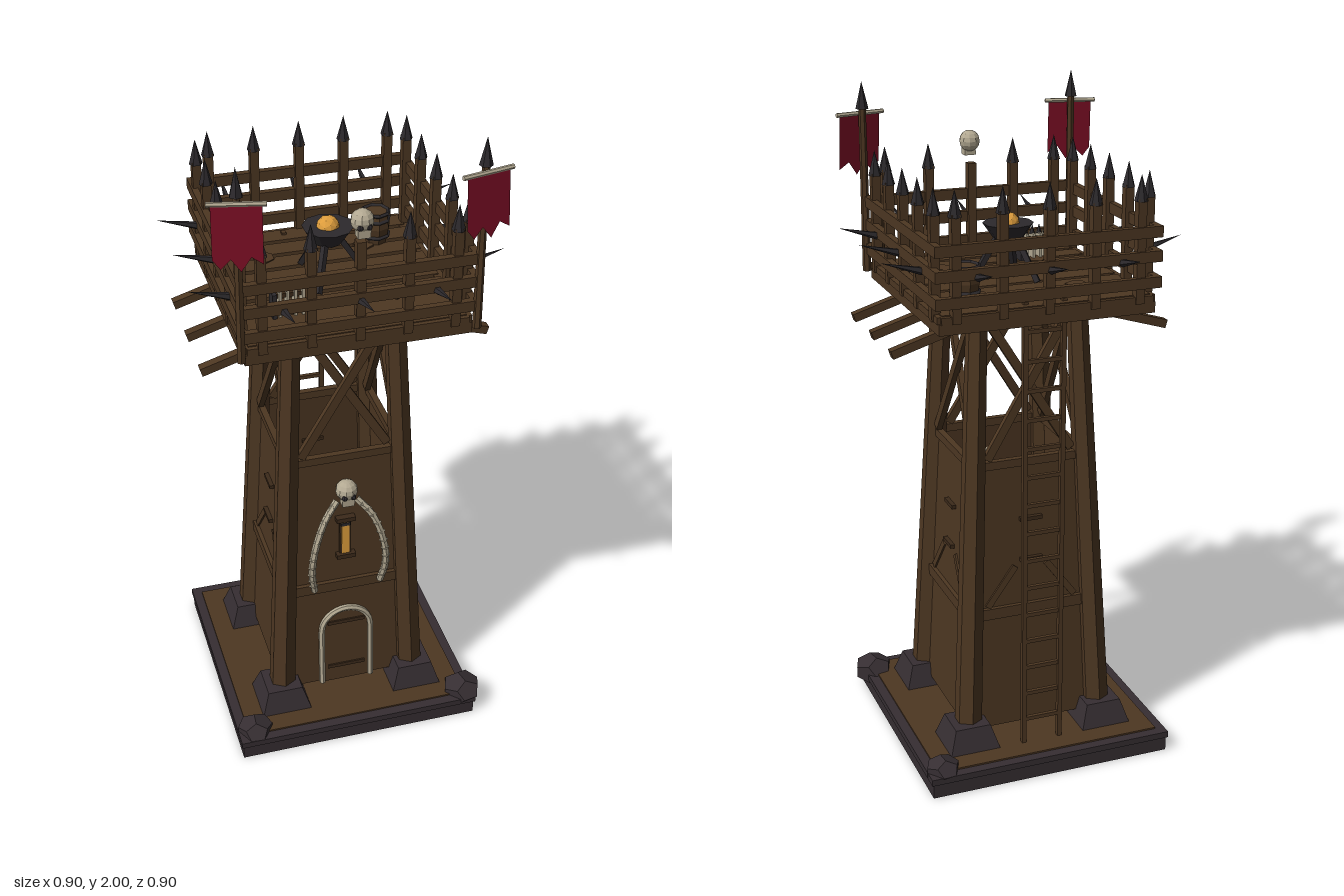
import * as THREE from 'three';

const mat = (name, color, side = THREE.FrontSide) => {
  const m = new THREE.MeshStandardMaterial({ color, side, flatShading: true });
  m.name = name;
  return m;
};

export function createModel() {
  const wood = mat('wood', 0x4d3722, THREE.DoubleSide);
  const darkWood = mat('dark wood', 0x3c2a1a);
  const stone = mat('stone', 0x362e32);
  const iron = mat('iron', 0x2c292c);
  const bone = mat('bone', 0xb3a992);
  const cloth = mat('red cloth', 0x7a0e24, THREE.DoubleSide);
  const fire = mat('fire', 0xdc9c3c);

  const tower = new THREE.Group();
  tower.name = 'watchtower';
  const V = (x, y, z) => new THREE.Vector3(x, y, z);
  const UP = V(0, 1, 0);

  function add(name, geo, m, x = 0, y = 0, z = 0, parent = tower) {
    const mesh = new THREE.Mesh(geo, m);
    mesh.name = name;
    mesh.position.set(x, y, z);
    parent.add(mesh);
    return mesh;
  }
  const box = (name, w, h, d, m, x, y, z, parent) =>
    add(name, new THREE.BoxGeometry(w, h, d), m, x, y, z, parent);
  const cyl = (name, rt, rb, h, n, m, x, y, z, parent) =>
    add(name, new THREE.CylinderGeometry(rt, rb, h, n), m, x, y, z, parent);
  // Places a y-aligned geometry between two points
  function span(name, a, b, makeGeo, m, parent) {
    const dir = b.clone().sub(a);
    const c = a.clone().add(b).multiplyScalar(0.5);
    const mesh = add(name, makeGeo(dir.length()), m, c.x, c.y, c.z, parent);
    mesh.quaternion.setFromUnitVectors(UP, dir.normalize());
    return mesh;
  }
  const beam = (name, a, b, w, d, m, parent) =>
    span(name, a, b, (l) => new THREE.BoxGeometry(w, l, d), m, parent);
  // Four copies of a part, one for each side
  function fourSides(name, build) {
    for (let i = 0; i < 4; i++) {
      const g = new THREE.Group();
      g.name = name;
      g.rotation.y = (i * Math.PI) / 2;
      build(g, i);
      tower.add(g);
    }
  }
  function skull(name, r, x, y, z) {
    const g = new THREE.Group();
    g.name = name;
    g.position.set(x, y, z);
    add('cranium', new THREE.SphereGeometry(r, 10, 8), bone, 0, 0, 0, g);
    box('jaw', r * 1.1, r * 0.8, r * 0.9, bone, 0, -r * 0.95, r * 0.25, g);
    for (const s of [-1, 1])
      add('eyeSocket', new THREE.SphereGeometry(r * 0.27, 6, 5), iron, s * r * 0.38, -r * 0.3, r * 0.8, g);
    tower.add(g);
  }

  // Base slab and rubble
  box('slab', 0.76, 0.05, 0.76, stone, 0, 0.025, 0);
  box('slabRim', 0.77, 0.02, 0.77, stone, 0, 0.055, 0);
  box('ground', 0.71, 0.006, 0.71, wood, 0, 0.067, 0);
  for (const [x, z, r] of [[-0.33, 0.33, 0.058], [0.355, 0.33, 0.065], [0.335, -0.335, 0.055]]) {
    const rock = add('rubble', new THREE.DodecahedronGeometry(r), stone, x, 0.065, z);
    rock.scale.y = 0.75;
    rock.rotation.y = x * 5;
  }

  // Tapered legs on stone feet; leg(y) is their distance from the centre
  const leg = (y) => 0.2165 - 0.0445 * y;
  for (const x of [-1, 1]) for (const z of [-1, 1]) {
    const a = leg(0.07), b = leg(1.468);
    span('leg', V(x * a, 0.07, z * a), V(x * b, 1.468, z * b),
      (l) => new THREE.CylinderGeometry(0.031, 0.043, l, 6), wood);
    const foot = new THREE.CylinderGeometry(0.078, 0.112, 0.075, 4).rotateY(Math.PI / 4);
    add('foot', foot, stone, x * 0.215, 0.105, z * 0.215);
  }

  // Sloping walls, open at the top
  const R2 = Math.SQRT2;
  const walls = new THREE.CylinderGeometry(leg(0.96) * R2, leg(0.1) * R2, 0.86, 4, 1, true);
  add('walls', walls.rotateY(Math.PI / 4), wood, 0, 0.53, 0);

  fourSides('sideFrame', (g, i) => {
    const at = (x, y, out) => V(x, y, leg(y) + out);
    // Horizontal beams and crossed braces
    box('middleBeam', 0.34, 0.035, 0.02, wood, 0, 0.48, leg(0.48) + 0.002, g);
    box('topBeam', 0.31, 0.025, 0.02, wood, 0, 0.95, leg(0.95), g);
    box('headBeam', 0.3, 0.03, 0.03, wood, 0, 1.395, leg(1.39), g);
    beam('brace', at(-0.135, 0.97, 0.005), at(0.13, 1.4, 0.005), 0.026, 0.018, wood, g);
    beam('brace', at(0.135, 0.97, -0.01), at(-0.13, 1.4, -0.01), 0.026, 0.018, wood, g);
    if (i !== 0) {
      for (const s of [-1, 1])
        beam('kneeBrace', at(s * 0.14, 0.5, 0), at(s * 0.05, 0.62, 0), 0.02, 0.012, wood, g);
      for (const y of [0.77, 0.64])
        box('slit', 0.07, 0.012, 0.02, darkWood, 0, y, leg(y) + 0.003, g);
    }
  });

  // Door with a bone arch, following the slope of the front wall
  const front = new THREE.Group();
  front.name = 'doorway';
  front.position.set(0, 0.1, leg(0.1));
  front.rotation.x = -0.0445;
  tower.add(front);
  const door = new THREE.Shape();
  door.moveTo(-0.075, 0);
  door.lineTo(0.075, 0);
  door.lineTo(0.075, 0.205);
  door.absarc(0, 0.205, 0.075, 0, Math.PI, false);
  add('door', new THREE.ExtrudeGeometry(door, { depth: 0.008, bevelEnabled: false }), wood, 0, 0, 0, front);
  for (const y of [0.06, 0.235]) box('doorStrap', 0.12, 0.012, 0.006, darkWood, 0, y, 0.01, front);
  const arch = new THREE.CurvePath();
  arch.add(new THREE.LineCurve3(V(-0.08, 0, 0), V(-0.08, 0.205, 0)));
  const bow = [];
  for (let i = 0; i <= 8; i++) {
    const t = Math.PI * (1 - i / 8);
    bow.push(V(0.08 * Math.cos(t), 0.205 + 0.08 * Math.sin(t), 0));
  }
  arch.add(new THREE.CatmullRomCurve3(bow));
  arch.add(new THREE.LineCurve3(V(0.08, 0.205, 0), V(0.08, 0, 0)));
  add('boneArch', new THREE.TubeGeometry(arch, 40, 0.01, 6), bone, 0, 0, 0.008, front);

  // Lit window slit
  box('windowFrame', 0.036, 0.15, 0.012, darkWood, 0, 0.56, 0.004, front);
  box('windowGlow', 0.024, 0.125, 0.006, fire, 0, 0.56, 0.01, front);
  box('windowBar', 0.03, 0.01, 0.008, iron, 0, 0.61, 0.012, front);
  for (const y of [0.495, 0.63]) box('windowLedge', 0.06, 0.014, 0.025, darkWood, 0, y, 0.01, front);

  // Tusks curving down from a skull
  for (const s of [-1, 1]) {
    const curve = new THREE.CatmullRomCurve3([
      V(s * 0.03, 0.81, 0.205), V(s * 0.075, 0.755, 0.228), V(s * 0.108, 0.66, 0.24),
      V(s * 0.117, 0.57, 0.238), V(s * 0.105, 0.49, 0.222)]);
    add('tusk', new THREE.TubeGeometry(curve, 16, 0.011, 6), bone);
    for (let i = 1; i < 12; i++) {
      const p = curve.getPoint(i / 12);
      add('tuskRidge', new THREE.OctahedronGeometry(0.015), bone, p.x, p.y, p.z);
    }
  }
  skull('wallSkull', 0.034, 0, 0.845, 0.205);

  // Platform, planks and sloping support beams
  box('platform', 0.645, 0.032, 0.645, wood, 0, 1.425, 0);
  for (let i = 0; i < 8; i++)
    box('plank', 0.62, 0.022, 0.063, wood, 0, 1.452, -0.28 + i * 0.08);
  for (const s of [-1, 1]) for (const z of [-0.19, 0, 0.19])
    beam('outrigger', V(s * 0.19, 1.4, z), V(s * 0.42, 1.33, z), 0.025, 0.027, wood);

  // Railing with pointed posts and outward spikes
  fourSides('railing', (g, i) => {
    for (const y of [1.5, 1.575, 1.645])
      box('rail', 0.67, 0.032, 0.02, wood, 0, y, 0.325, g);
    box('kerb', 0.63, 0.02, 0.03, wood, 0, 1.45, 0.31, g);
    for (let k = -2; k <= 2; k++) {
      const x = k * 0.136;
      box('post', 0.026, 0.3, 0.026, wood, x, 1.59, 0.317, g);
      if (i === 0 && k === 0) continue;
      cyl('postTip', 0, 0.02, 0.075, 6, iron, x, 1.77, 0.317, g);
    }
    for (const x of [-0.213, 0, 0.213])
      span('spike', V(x, 1.565, 0.33), V(x, 1.598, 0.45),
        (l) => new THREE.ConeGeometry(0.012, l, 5), iron, g);
  });
  skull('postSkull', 0.032, 0, 1.805, 0.328);

  // Banners on the two front corners
  for (const s of [-1, 1]) {
    const g = new THREE.Group();
    g.name = 'banner';
    g.position.set(s * 0.333, 0, 0.332);
    g.rotation.y = s * 0.22;
    cyl('pole', 0.011, 0.013, 0.5, 6, wood, 0, 1.68, 0, g);
    cyl('poleTip', 0, 0.019, 0.08, 6, iron, 0, 1.96, 0, g);
    const bar = cyl('crossbar', 0.007, 0.007, 0.155, 6, bone, 0, 1.905, 0.014, g);
    bar.rotation.z = Math.PI / 2;
    const flag = new THREE.Shape();
    [[-0.066, 0], [0.066, 0], [0.066, -0.165], [0.035, -0.145], [0.008, -0.185],
      [-0.018, -0.15], [-0.045, -0.178], [-0.066, -0.15]]
      .forEach(([x, y], k) => (k ? flag.lineTo(x, y) : flag.moveTo(x, y)));
    const sheet = add('flag', new THREE.ShapeGeometry(flag), cloth, 0, 1.905, 0.016, g);
    sheet.rotation.x = -0.08;
    tower.add(g);
  }

  // Ladder at the back
  for (const s of [-1, 1]) box('ladderRail', 0.014, 1.4, 0.016, wood, s * 0.058, 0.77, -0.285);
  for (let y = 0.15; y < 1.42; y += 0.088) box('ladderRung', 0.116, 0.012, 0.012, wood, 0, y, -0.285);

  // Brazier
  cyl('brazierBowl', 0.075, 0.04, 0.05, 10, iron, 0, 1.6, 0);
  add('flame', new THREE.IcosahedronGeometry(0.034, 1), fire, 0, 1.622, 0);
  for (let i = 0; i < 3; i++) {
    const t = (i * 2 * Math.PI) / 3, c = Math.cos(t), d = Math.sin(t);
    beam('brazierLeg', V(c * 0.03, 1.59, d * 0.03), V(c * 0.11, 1.465, d * 0.11), 0.016, 0.016, iron);
  }

  // Barrel
  const profile = [[0, 0], [0.036, 0], [0.045, 0.05], [0.038, 0.095], [0, 0.095]];
  add('barrel', new THREE.LatheGeometry(profile.map((p) => new THREE.Vector2(...p)), 8), wood, 0.195, 1.463, -0.175);
  for (const y of [1.485, 1.535, 1.558]) {
    const hoop = add('barrelHoop', new THREE.TorusGeometry(0.041, 0.006, 4, 8), iron, 0.195, y, -0.175);
    hoop.rotation.x = Math.PI / 2;
  }

  // Small rack of bone spears
  for (const s of [-1, 1]) box('rackEnd', 0.012, 0.075, 0.045, iron, -0.155 + s * 0.05, 1.5, 0.172);
  box('rackBar', 0.1, 0.012, 0.014, darkWood, -0.155, 1.525, 0.172);
  for (let i = -1.5; i <= 1.5; i++) {
    box('spearShaft', 0.008, 0.08, 0.035, bone, -0.155 + i * 0.022, 1.503, 0.172);
    cyl('spearTip', 0, 0.009, 0.03, 4, iron, -0.155 + i * 0.022, 1.555, 0.172);
  }
  return tower;
}
